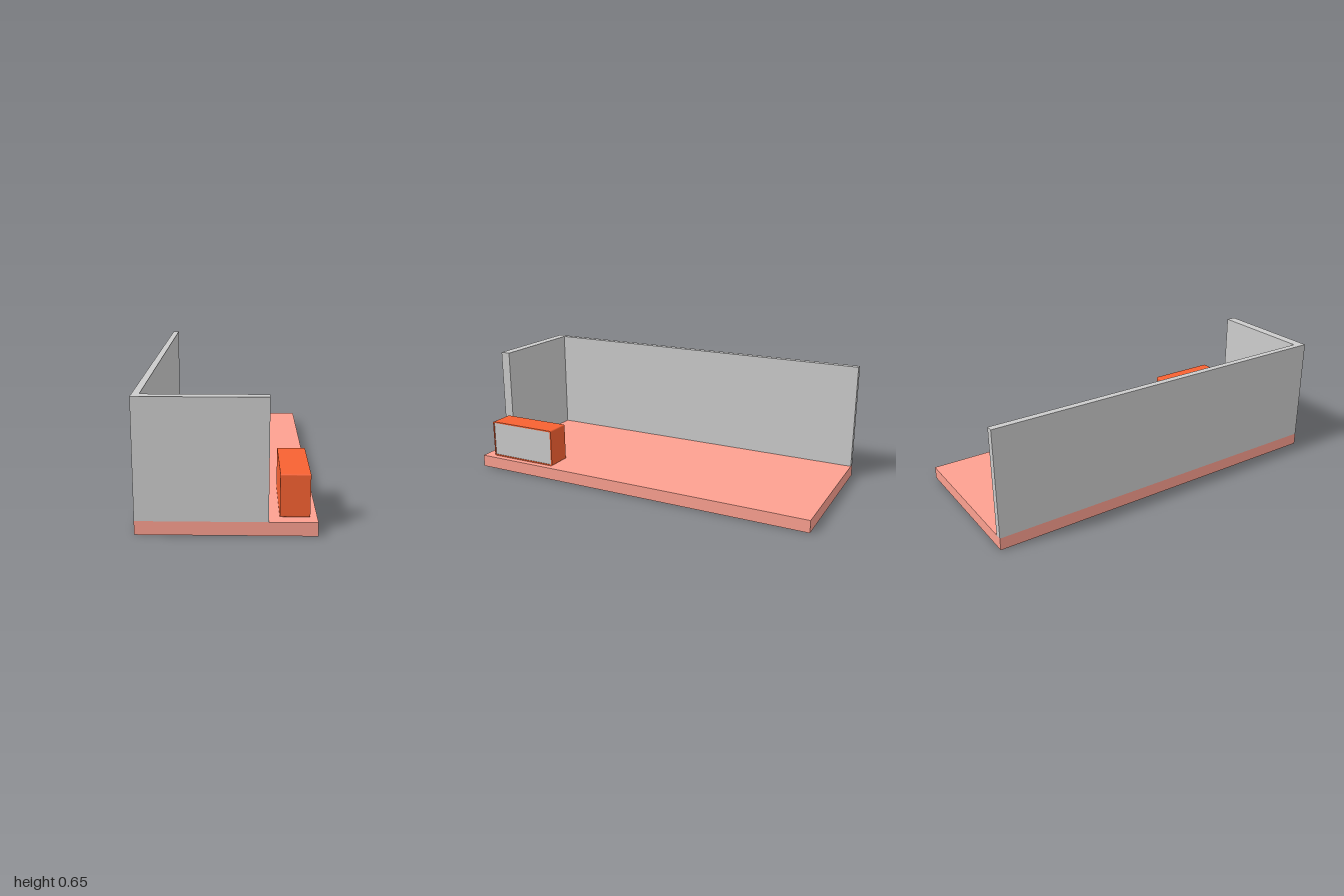
import * as THREE from 'three';

const grey = new THREE.MeshStandardMaterial({ color: 0xcccccc });
const pink = new THREE.MeshStandardMaterial({ color: 0xfca090 });
const orange = new THREE.MeshStandardMaterial({ color: 0xf76132 });

// Box given by its lower and upper corners
function block(name, material, [x0, y0, z0], [x1, y1, z1]) {
  const mesh = new THREE.Mesh(new THREE.BoxGeometry(x1 - x0, y1 - y0, z1 - z0), material);
  mesh.name = name;
  mesh.position.set((x0 + x1) / 2, (y0 + y1) / 2, (z0 + z1) / 2);
  return mesh;
}

// Rectangle with rounded corners, centred on the origin
function roundedRect(target, w, h, r) {
  const x = w / 2 - r, y = h / 2 - r;
  target.absarc(x, y, r, 0, Math.PI / 2);
  target.absarc(-x, y, r, Math.PI / 2, Math.PI);
  target.absarc(-x, -y, r, Math.PI, Math.PI * 1.5);
  target.absarc(x, -y, r, Math.PI * 1.5, Math.PI * 2);
  target.closePath();
  return target;
}

// Extrudes a shape along +x, from x = 0
function extrudeX(name, shape, depth) {
  const geometry = new THREE.ExtrudeGeometry(shape, { depth, bevelEnabled: false, curveSegments: 4 });
  geometry.rotateY(Math.PI / 2);
  const mesh = new THREE.Mesh(geometry, orange);
  mesh.name = name;
  return mesh;
}

// Cabinet: rounded body, thin rim and a slightly recessed grey panel
function createCabinet() {
  const cabinet = new THREE.Group();
  cabinet.name = 'cabinet';
  const w = 0.41, h = 0.21, depth = 0.14, recess = 0.006, rim = 0.007;

  const body = extrudeX('cabinetBody', roundedRect(new THREE.Shape(), w, h, 0.008), depth - recess);
  const frame = roundedRect(new THREE.Shape(), w, h, 0.008);
  frame.holes.push(roundedRect(new THREE.Path(), w - 2 * rim, h - 2 * rim, 0.003));
  const rimMesh = extrudeX('cabinetRim', frame, recess);
  rimMesh.position.x = depth - recess;

  const panel = block('cabinetPanel', grey,
    [depth - recess - 0.002, -h / 2 + rim, -w / 2 + rim],
    [depth - recess + 0.002, h / 2 - rim, w / 2 - rim]);
  cabinet.add(body, rimMesh, panel);
  cabinet.position.set(0.247, 0.067 + h / 2, 0.735);
  return cabinet;
}

export function createModel() {
  const model = new THREE.Group();
  model.name = 'roomCorner';
  const floorTop = 0.067, wallTop = 0.65;
  model.add(
    block('floor', pink, [-0.421, 0, -1], [0.421, floorTop, 1]),
    block('sideWall', grey, [-0.421, floorTop, -1], [-0.386, wallTop, 1]),
    block('frontWall', grey, [-0.386, floorTop, 0.945], [0.195, wallTop, 1]),
    createCabinet(),
  );
  return model;
}
